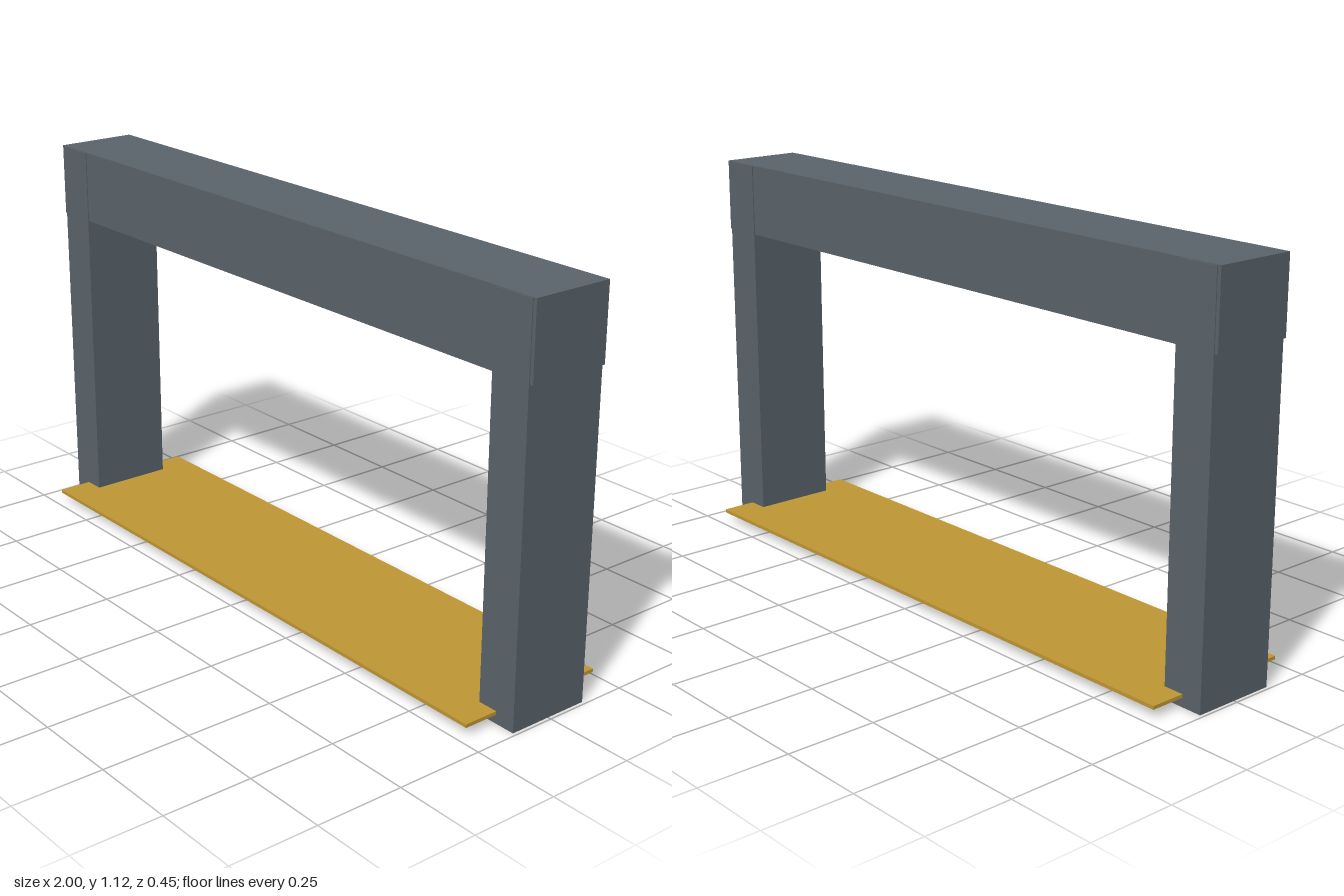
import * as THREE from 'three';

const steel = new THREE.MeshStandardMaterial({ color: 0x59636a });
const brass = new THREE.MeshStandardMaterial({ color: 0xbf9633 });

// Box standing on height y
function block(name, w, h, d, x, y, material) {
  const mesh = new THREE.Mesh(new THREE.BoxGeometry(w, h, d), material);
  mesh.name = name;
  mesh.position.set(x, y + h / 2, 0);
  return mesh;
}

export function createModel() {
  const group = new THREE.Group();
  group.name = 'gateFrame';

  // Posts run up through the beam and stand slightly proud of its faces
  for (const [side, name] of [[1, 'leftPost'], [-1, 'rightPost']]) {
    group.add(block(name, 0.12, 1.118, 0.246, side * 0.93, 0, steel));
  }

  // Crossbeam
  group.add(block('crossbeam', 2, 0.21, 0.24, 0, 0.91, steel));

  // Thin threshold plate between the posts
  group.add(block('thresholdPlate', 1.86, 0.01, 0.45, 0, 0.025, brass));

  return group;
}
